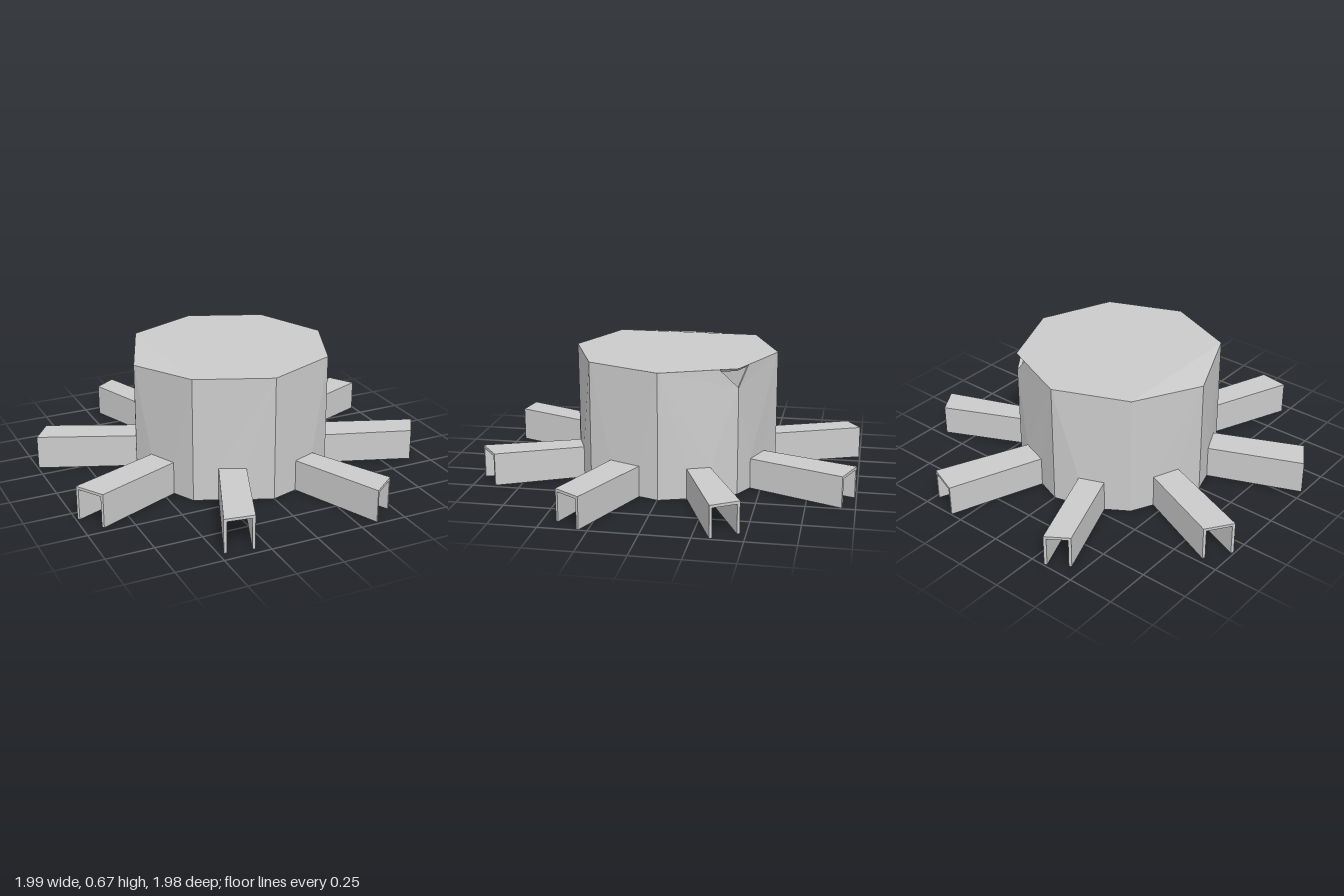
import * as THREE from 'three';

const V = (x, y, z) => new THREE.Vector3(x, y, z);
const WALL = 0.015, TOP = 0.67, R = 0.547, NOTCH = 7, LOW = 4;

// Top outlines of the eight channels: inner a, outer a, outer b, inner b (x, z), then height
const CHANNELS = [
  [0.51, 0.10, 0.995, 0.295, 0.905, 0.43, 0.44, 0.265, 0.165],
  [0.27, 0.45, 0.48, 0.88, 0.345, 0.985, 0.145, 0.50, 0.17],
  [-0.135, 0.49, -0.32, 0.965, -0.475, 0.94, -0.265, 0.43, 0.178],
  [-0.445, 0.265, -0.90, 0.46, -0.99, 0.315, -0.51, 0.12, 0.178],
  [-0.50, -0.135, -0.995, -0.335, -0.90, -0.47, -0.445, -0.275, 0.178],
  [-0.27, -0.465, -0.44, -0.92, -0.325, -0.995, -0.14, -0.515, 0.17],
  [0.135, -0.50, 0.32, -0.995, 0.49, -0.93, 0.285, -0.445, 0.162],
  [0.455, -0.26, 0.905, -0.47, 0.99, -0.335, 0.50, -0.145, 0.162],
];

// Collects triangles, given clockwise as seen from the visible side
function makeBuilder() {
  const pos = [];
  const tri = (a, b, c) => [a, c, b].forEach(p => pos.push(p.x, p.y, p.z));
  const quad = (a, b, c, d) => { tri(a, b, c); tri(a, c, d); };
  const mesh = (name) => {
    const g = new THREE.BufferGeometry();
    g.setAttribute('position', new THREE.Float32BufferAttribute(pos, 3));
    g.computeVertexNormals();
    const m = new THREE.Mesh(g, new THREE.MeshStandardMaterial({
      color: 0xcccccc, flatShading: true, side: THREE.DoubleSide }));
    m.name = name;
    return m;
  };
  return { tri, quad, mesh };
}

const corner = (k, y) => {
  const a = (k % 8) * Math.PI / 4;
  return V(R * Math.cos(a), y, R * Math.sin(a) - 0.004);
};
const roofPoint = k => corner(k, k % 8 === LOW ? 0.64 : TOP);
// Matching point on the inner skin of the drum
const inset = p => V(p.x * 0.97, p.y > 0.5 ? p.y - WALL : p.y, p.z * 0.97);

function makeDrumWall() {
  const b = makeBuilder();
  const both = (p, q, r) => { b.tri(p, q, r); b.tri(inset(p), inset(r), inset(q)); };
  const rim = (p, q) => b.quad(p, inset(p), inset(q), q);
  CHANNELS.forEach((c, k) => {
    const h = c[8];
    const A0 = corner(k, 0), B0 = corner(k + 1, 0);
    const A = roofPoint(k), B = roofPoint(k + 1);
    const p0 = V(c[0], 0, c[1]), p1 = V(c[0], h, c[1]);
    const q0 = V(c[6], 0, c[7]), q1 = V(c[6], h, c[7]);
    // Small triangular break under the roof at one corner
    const fullA = A.clone(), fullB = B.clone();
    if (k === NOTCH) {
      A.y -= 0.1;
      const n = fullA.clone().lerp(B, 0.24);
      both(A, B, n);
      rim(n, A);
      b.quad(fullA, inset(fullA), inset(n), n);
    }
    if (k + 1 === NOTCH) {
      B.y -= 0.1;
      const n = fullB.clone().lerp(A, 0.24);
      both(A, B, n);
      rim(B, n);
      b.quad(n, inset(n), inset(fullB), fullB);
    }
    // Facets around the doorway, outside and inside
    both(A, A0, p0);
    both(A, p0, p1);
    if (k === NOTCH) {
      both(A, p1, B);
      both(B, p1, q1);
    } else {
      both(A, p1, q1);
      both(A, q1, B);
    }
    both(B, q1, q0);
    both(B, q0, B0);
    // Bottom edge, running up and over the doorway
    const edge = [A0, p0, p1, q1, q0, B0];
    for (let i = 0; i < 5; i++) rim(edge[i], edge[i + 1]);
  });
  return b.mesh('drumWall');
}

function makeRoof() {
  const b = makeBuilder();
  // Fan that leaves the one low corner as its own sloping facet
  for (let i = LOW; i < LOW + 6; i++) {
    const p = [roofPoint(LOW - 1), roofPoint(i), roofPoint(i + 1)];
    b.tri(...p);
    const [x, y, z] = p.map(inset);
    b.tri(x, z, y);
  }
  return b.mesh('drumRoof');
}

function makeChannel(c, k) {
  const b = makeBuilder();
  const h = c[8];
  // Upside-down U section between two ground points
  const section = (ax, az, bx, bz, top) => {
    const a = V(ax, 0, az), d = V(bx, 0, bz);
    const t = WALL / a.distanceTo(d);
    const ai = a.clone().lerp(d, t), di = d.clone().lerp(a, t);
    const up = (p, y) => V(p.x, y, p.z);
    return [a, up(a, top), up(d, top), d, di, up(di, top - WALL), up(ai, top - WALL), ai];
  };
  const s = section(c[0], c[1], c[6], c[7], h);
  const e = section(c[2], c[3], c[4], c[5], h + 0.004);
  for (let i = 0; i < 8; i++) {
    const j = (i + 1) % 8;
    b.quad(s[i], e[i], e[j], s[j]);
  }
  // End faces
  for (let i = 0; i < 3; i++) {
    b.quad(e[i], e[7 - i], e[6 - i], e[i + 1]);
    b.quad(s[i], s[i + 1], s[6 - i], s[7 - i]);
  }
  return b.mesh('channel' + (k + 1));
}

export function createModel() {
  const group = new THREE.Group();
  group.name = 'drumWithChannels';
  group.add(makeDrumWall(), makeRoof(), ...CHANNELS.map(makeChannel));
  return group;
}
